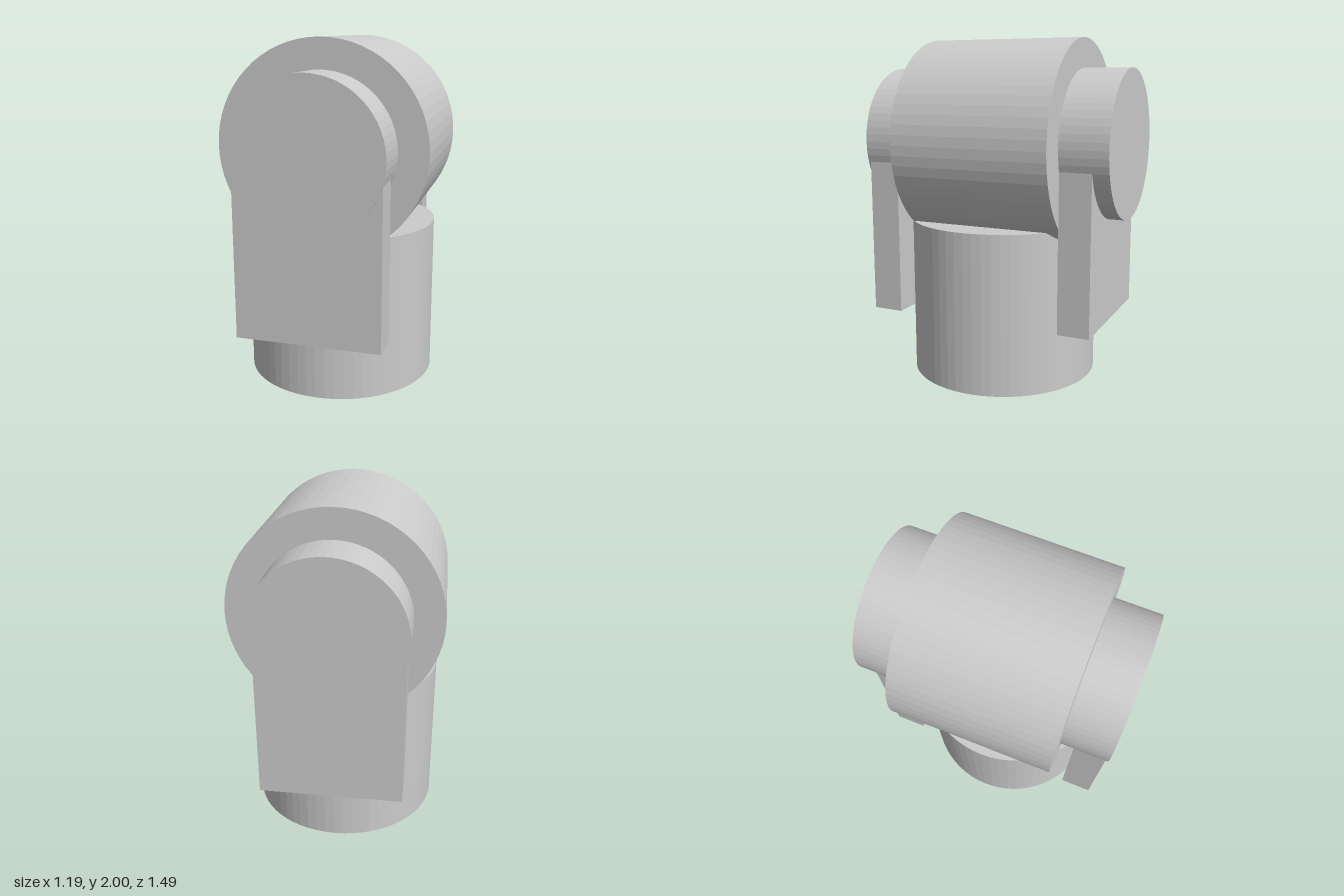
import * as THREE from 'three';

const material = new THREE.MeshStandardMaterial({ color: 0xcccccc, flatShading: true });
const AXIS_Y = 1.403; // height of the horizontal barrel's axis

export function createModel() {
  const group = new THREE.Group();

  function add(name, geometry, x, y, z) {
    const mesh = new THREE.Mesh(geometry, material);
    mesh.name = name;
    mesh.position.set(x, y, z);
    group.add(mesh);
  }

  // Cylinder lying along z
  const lying = (radius, length) =>
    new THREE.CylinderGeometry(radius, radius, length, 64).rotateX(Math.PI / 2);

  // Upright base, set slightly forward
  add('base', new THREE.CylinderGeometry(0.56, 0.56, 0.935, 64), 0, 0.4675, 0.04);

  // Barrel with a thinner pin passing through it
  add('barrel', lying(0.597, 0.934), 0, AXIS_Y, 0);
  add('pin', lying(0.428, 1.49), 0, AXIS_Y, 0);

  // Bracket plates, their tops buried in the pin ends
  const plateBottom = 0.375, plateTop = 1.4;
  for (const [name, z] of [['frontPlate', 0.638], ['backPlate', -0.558]]) {
    add(name, new THREE.BoxGeometry(0.82, plateTop - plateBottom, 0.185),
      0, (plateTop + plateBottom) / 2, z);
  }

  return group;
}
